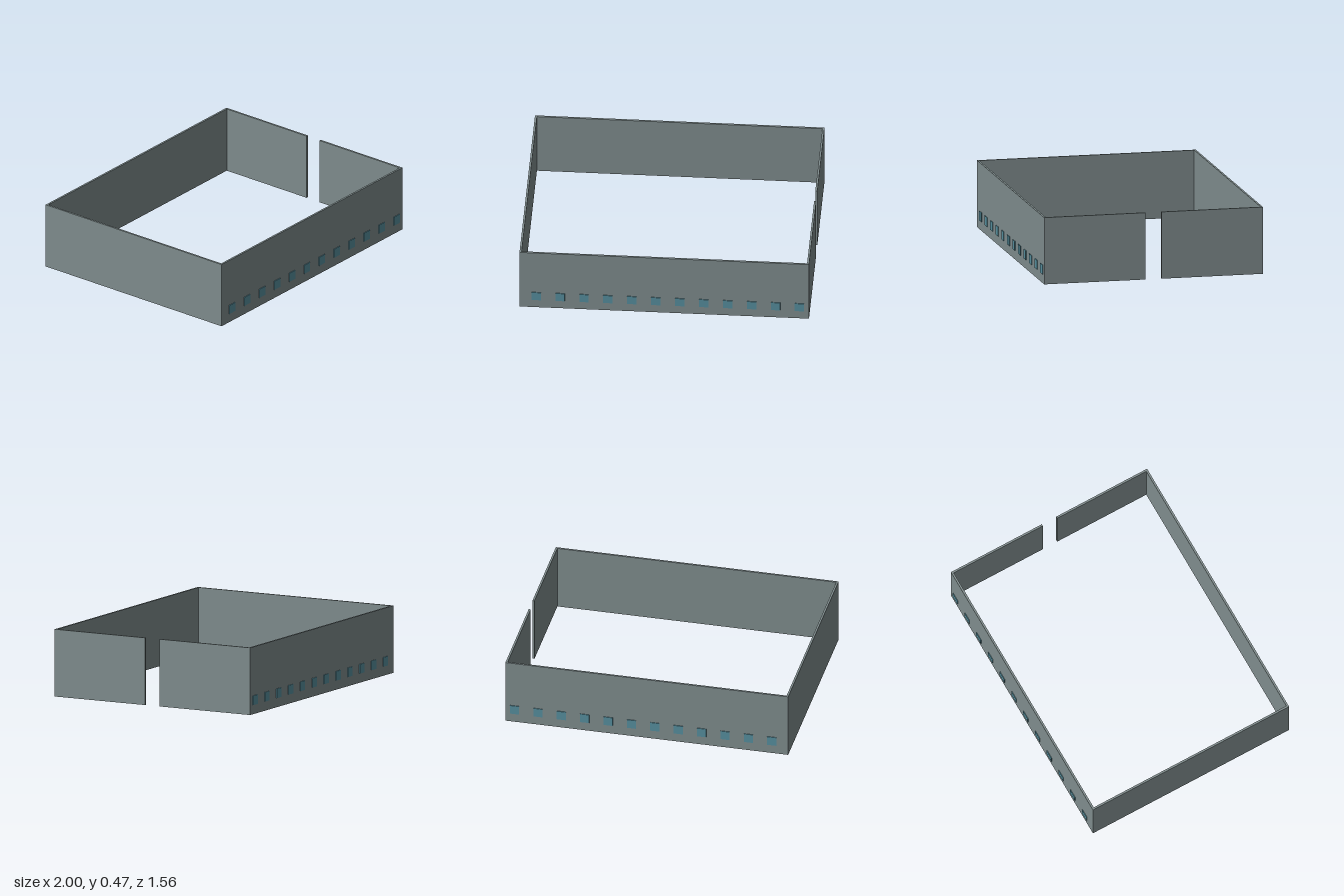
import * as THREE from 'three';

export function createModel() {
  const model = new THREE.Group();
  const wallGrey = new THREE.MeshStandardMaterial({ color: 0x7f8c8d });
  wallGrey.name = 'wallGrey';
  const windowBlue = new THREE.MeshStandardMaterial({ color: 0x568e9d });
  windowBlue.name = 'windowBlue';

  const H = 0.47, T = 0.014, X = 1, Z = 0.775, GAP = 0.057;

  function box(name, material, w, h, d, x, y, z) {
    const mesh = new THREE.Mesh(new THREE.BoxGeometry(w, h, d), material);
    mesh.name = name;
    mesh.position.set(x, y, z);
    model.add(mesh);
  }

  // Closed wall on the right-hand end
  box('rightWall', wallGrey, T, H, 2 * (Z - T), -X + T / 2, H / 2, 0);

  for (const side of [1, -1]) {
    const end = side > 0 ? 'front' : 'back';
    // Long wall
    box(end + 'Wall', wallGrey, 2 * X, H, T, 0, H / 2, side * (Z - T / 2));
    // Half of the left-hand wall, leaving the entrance slot open
    const len = Z - T - GAP;
    box(end + 'EntranceWall', wallGrey, T, H, len, X - T / 2, H / 2, side * (GAP + len / 2));
    // Row of small square windows standing just proud of the wall
    for (let i = 0; i < 12; i++) {
      box(end + 'Window' + (i + 1), windowBlue, 0.065, 0.065, 0.006,
        -0.885 + i * 0.1654, 0.097, side * (Z + 0.002));
    }
  }
  return model;
}
